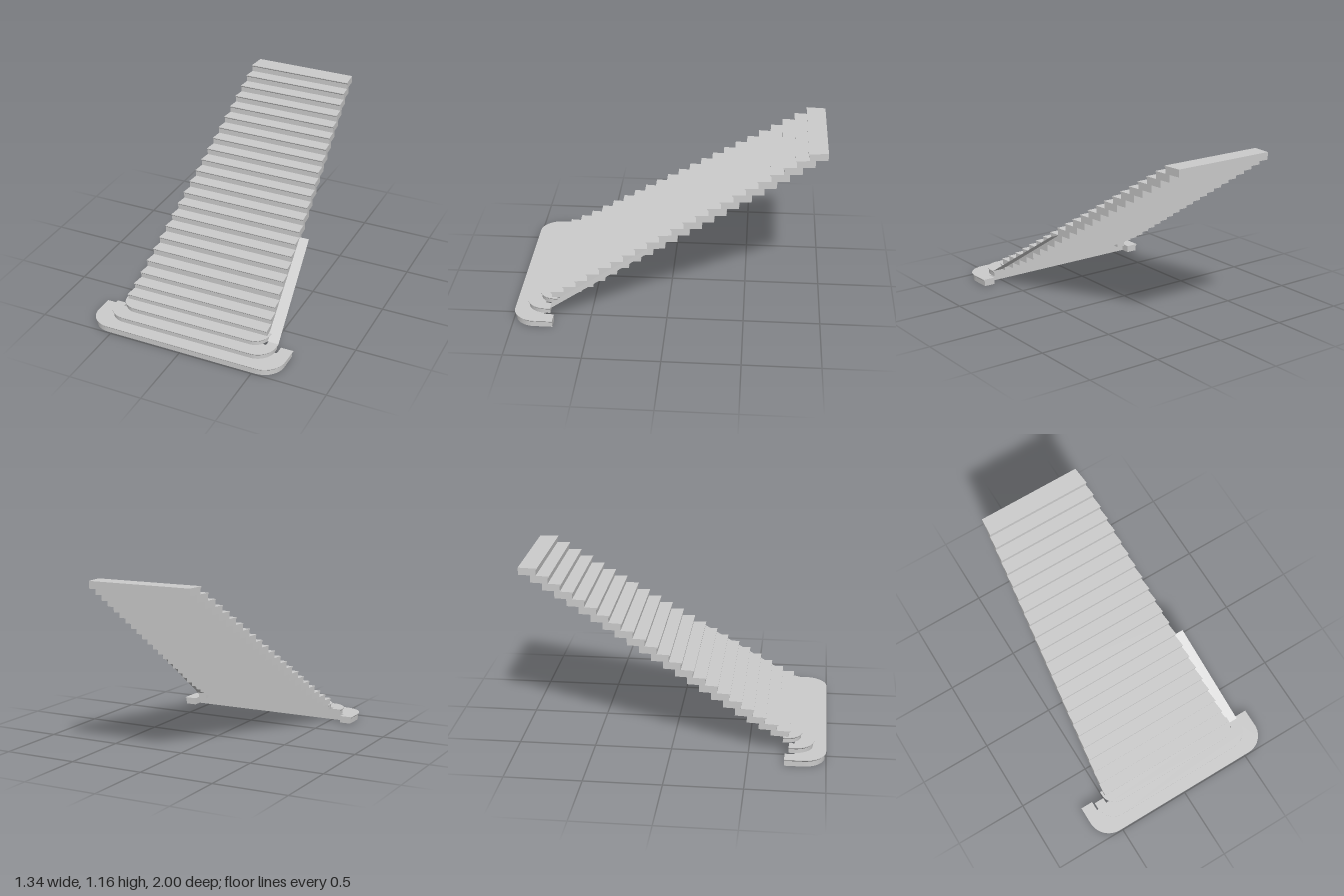
import * as THREE from 'three';
import { toCreasedNormals } from 'three/addons/utils/BufferGeometryUtils.js';

const STEPS = 25, GOING = 0.0781, DEPTH = 0.125, LIP = 0.009;
const FIRST_TOPS = [0.047, 0.0865, 0.124, 0.162, 0.202, 0.245, 0.295];

// Height of a tread: a gentle start, then a constant rise
const topOf = i => i < 0 ? 0 : i < 7 ? FIRST_TOPS[i] : 0.295 + (i - 6) * 0.0479;
// Half width of the flight, narrowing towards the top
const halfWidth = z => 0.362 + 0.0835 * (z + 0.875);

// Solid from plan outlines [x, z] (counter-clockwise from above) at several heights
function loft(outline, levels) {
  const rings = levels.map(([y, inset]) => outline(inset).map(([x, z]) => new THREE.Vector3(x, y, z)));
  const pos = [];
  const tri = (...pts) => pts.forEach(p => pos.push(p.x, p.y, p.z));
  const n = rings[0].length;
  for (let k = 0; k < rings.length - 1; k++) {
    for (let i = 0; i < n; i++) {
      const j = (i + 1) % n, lo = rings[k], hi = rings[k + 1];
      tri(lo[i], lo[j], hi[j]);
      tri(lo[i], hi[j], hi[i]);
    }
  }
  const cap = ring => THREE.ShapeUtils.triangulateShape(ring.map(p => new THREE.Vector2(p.x, -p.z)), []);
  const bottom = rings[0], top = rings[rings.length - 1];
  cap(bottom).forEach(([a, b, c]) => tri(bottom[a], bottom[c], bottom[b]));
  cap(top).forEach(([a, b, c]) => tri(top[a], top[b], top[c]));
  const geo = new THREE.BufferGeometry();
  geo.setAttribute('position', new THREE.Float32BufferAttribute(pos, 3));
  return toCreasedNormals(geo, 0.5);
}

// Riser with a slanted nosing under the tread edge
const nosing = i => [[topOf(i - 1), LIP], [topOf(i) - 0.013, LIP], [topOf(i) - 0.004, 0], [topOf(i), 0]];

// Rounded starting step; side arms may reach further back than the middle
function roundedOutline({ w, front, back, r, inner, bar }) {
  return inset => {
    const pts = [[-w + inset, back]];
    for (const side of [-1, 1]) {
      for (let k = 0; k <= 10; k++) {
        const a = Math.PI / 2 * (side < 0 ? 2 - k / 10 : 1 - k / 10);
        pts.push([side * (w - r) + (r - inset) * Math.cos(a), front - r + (r - inset) * Math.sin(a)]);
      }
    }
    pts.push([w - inset, back]);
    if (inner) pts.push([inner, back], [inner, bar], [-inner, bar], [-inner, back]);
    return pts;
  };
}

export function createModel() {
  const model = new THREE.Group();
  model.name = 'staircase';
  const material = new THREE.MeshStandardMaterial({ color: 0xcccccc });
  const add = (name, geo, mat = material) => {
    const mesh = new THREE.Mesh(geo, mat);
    mesh.name = name;
    model.add(mesh);
  };

  // Three rounded starting steps
  [
    { w: 0.67, front: 1, back: 0.735, r: 0.145, inner: 0.585, bar: 0.8 },
    { w: 0.578, front: 0.922, back: 0.76, r: 0.125, inner: 0.51, bar: 0.797 },
    { w: 0.512, front: 0.844, back: 0.72, r: 0.1 },
  ].forEach((s, i) => add('startingStep' + (i + 1), loft(roundedOutline(s), nosing(i))));

  // Tapering flight of straight steps
  for (let i = 3; i < STEPS; i++) {
    const front = 1 - GOING * i, back = front - DEPTH;
    const outline = inset => {
      const f = front - inset, wf = halfWidth(f), wb = halfWidth(back);
      return [[-wb, back], [-wf, f], [wf, f], [wb, back]];
    };
    add('step' + (i + 1), loft(outline, nosing(i)));
  }

  // Thin sloping panel along one side
  const panel = new THREE.BufferGeometry();
  panel.setAttribute('position', new THREE.Float32BufferAttribute([
    0.497, 0.0865, 0.76, 0.578, 0.0865, 0.76, 0.51, 0.487, 0.125, 0.435, 0.487, 0.125], 3));
  panel.setIndex([0, 1, 2, 0, 2, 3]);
  panel.computeVertexNormals();
  add('sidePanel', panel, new THREE.MeshStandardMaterial({ color: 0xcccccc, side: THREE.DoubleSide }));

  return model;
}
